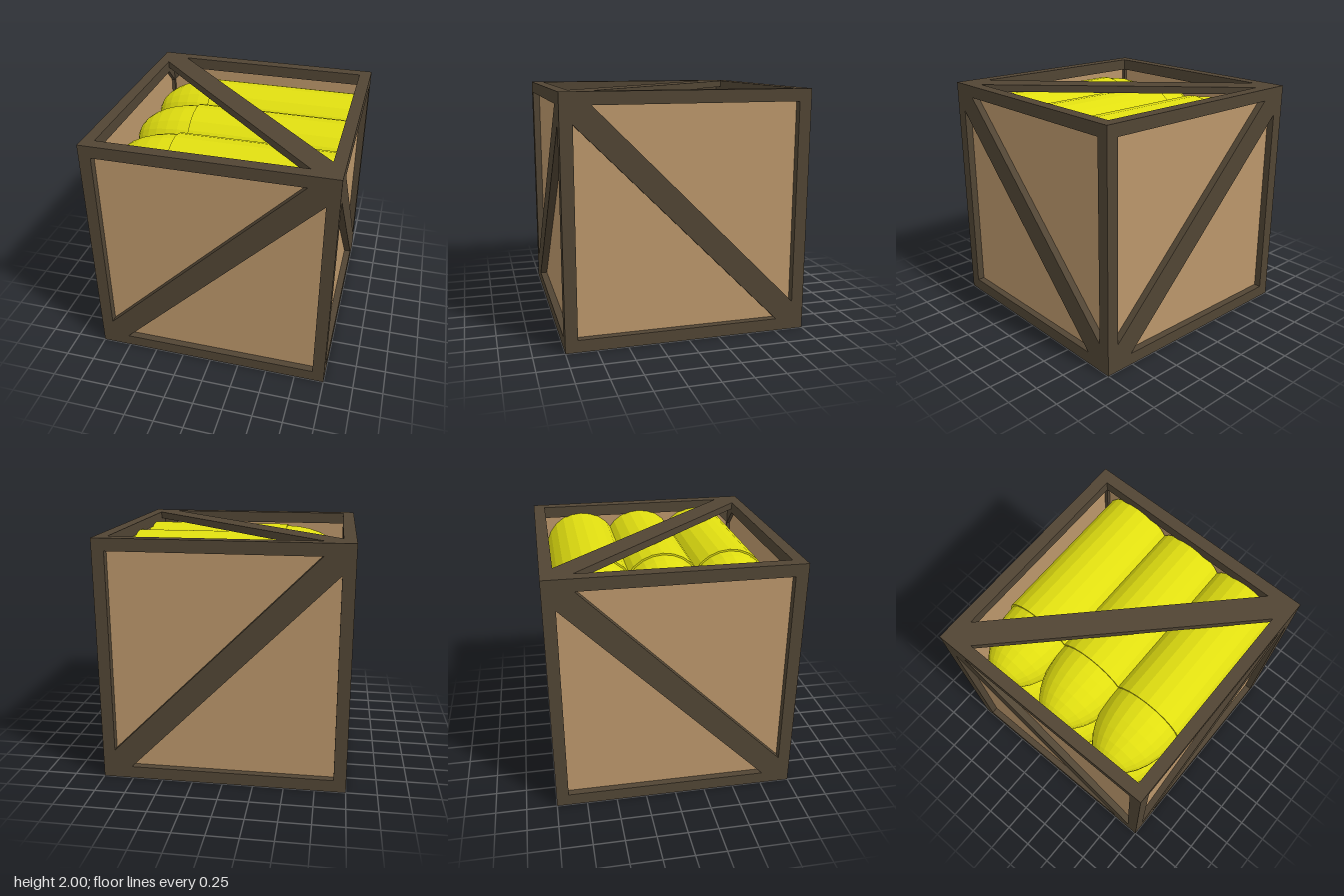
import * as THREE from 'three';

const HALF = 1, BAR = 0.1, IN = HALF - BAR, CUT = 0.76;

function mat(name, color, extra = {}) {
  const m = new THREE.MeshStandardMaterial({ color, ...extra });
  m.name = name;
  return m;
}

function add(parent, name, geometry, material, x = 0, y = 0, z = 0) {
  const mesh = new THREE.Mesh(geometry, material);
  mesh.name = name;
  mesh.position.set(x, y, z);
  parent.add(mesh);
  return mesh;
}

function plate(points, depth) {
  const shape = new THREE.Shape(points.map(([x, y]) => new THREE.Vector2(x, y)));
  return new THREE.ExtrudeGeometry(shape, { depth, bevelEnabled: false });
}

export function createModel() {
  const model = new THREE.Group();
  model.name = 'shellCrate';
  const darkWood = mat('dark wood', 0x514534);
  const lightWood = mat('light wood', 0xba966a);
  const yellow = mat('yellow shell', 0xe0de10, { flatShading: true });

  const crate = new THREE.Group();
  crate.name = 'crate';
  crate.position.y = HALF;
  model.add(crate);

  // Twelve edge bars: full-length posts, shorter rails between them
  const mid = HALF - BAR / 2;
  const post = new THREE.BoxGeometry(BAR, 2, BAR);
  const railX = new THREE.BoxGeometry(2 * IN, BAR, BAR);
  const railZ = new THREE.BoxGeometry(BAR, BAR, 2 * IN);
  for (const a of [-mid, mid]) {
    for (const b of [-mid, mid]) {
      add(crate, 'cornerPost', post, darkWood, a, 0, b);
      add(crate, 'crossRail', railX, darkWood, 0, a, b);
      add(crate, 'sideRail', railZ, darkWood, a, b, 0);
    }
  }

  // Diagonal brace, recessed panel and inner corner blocks for one face
  const brace = plate([[-IN, -IN], [-CUT, -IN], [IN, CUT], [IN, IN], [CUT, IN], [-IN, -CUT]], 0.06);
  const gusset = plate([[-IN, -IN], [-CUT, -IN], [-IN, -CUT]], 0.03);
  const panel = new THREE.BoxGeometry(2 * IN + 0.06, 2 * IN + 0.06, 0.01);
  const faces = [
    ['front', 0, 0, false], ['left', 0, Math.PI / 2, true],
    ['back', 0, Math.PI, false], ['right', 0, -Math.PI / 2, true],
    ['top', -Math.PI / 2, 0, true], ['bottom', Math.PI / 2, 0, true],
  ];
  for (const [name, rx, ry, turned] of faces) {
    const face = new THREE.Group();
    face.name = name + 'Face';
    face.rotation.set(rx, ry, 0);
    crate.add(face);
    const turn = turned ? Math.PI / 2 : 0;
    add(face, name + 'Brace', brace, darkWood, 0, 0, 0.94).rotation.z = turn;
    if (name === 'top') continue; // open lid
    add(face, name + 'Panel', panel, lightWood, 0, 0, 0.935);
    for (const end of [0, Math.PI]) {
      add(face, name + 'CornerBlock', gusset, darkWood, 0, 0, 0.9).rotation.z = turn + end;
    }
  }

  // Stacked shells: cylindrical case with a slightly narrower rounded nose
  const SEAM = -0.38, END = 0.92, R = 0.34, SIDES = 24;
  const caseGeo = new THREE.CylinderGeometry(R, R, END - SEAM, SIDES);
  caseGeo.rotateZ(Math.PI / 2);
  const noseGeo = new THREE.SphereGeometry(1, SIDES, 8, 0, Math.PI * 2, 0, Math.PI / 2);
  noseGeo.scale(0.325, 0.54, 0.325);
  noseGeo.rotateZ(Math.PI / 2);
  for (const y of [0.41, 1.0, 1.59]) {
    for (const z of [-0.56, 0, 0.56]) {
      const shell = new THREE.Group();
      shell.name = 'shell';
      shell.position.set(0, y, z);
      add(shell, 'shellCase', caseGeo, yellow, (SEAM + END) / 2);
      add(shell, 'shellNose', noseGeo, yellow, SEAM);
      model.add(shell);
    }
  }
  return model;
}
